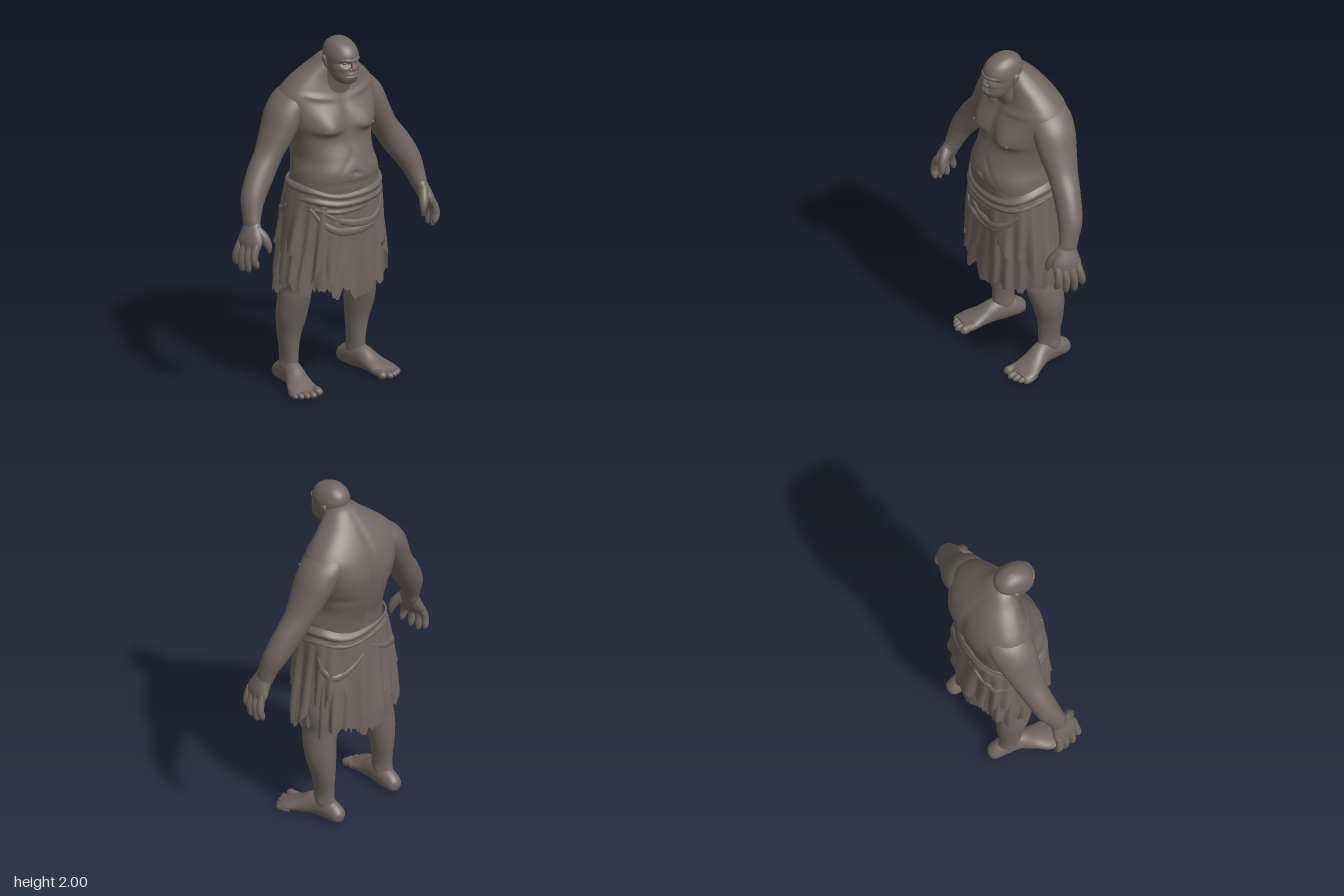
import * as THREE from 'three';

const hide = new THREE.MeshStandardMaterial({ color: 0x70655f, side: THREE.DoubleSide });
hide.name = 'greyBrown';

const V = (x, y, z) => new THREE.Vector3(x, y, z);
const spow = (v, p) => Math.sign(v) * Math.abs(v) ** p;
const gauss = (x, y, cx, cy, sx, sy) => Math.exp(-(((x - cx) / sx) ** 2) - ((y - cy) / sy) ** 2);
const hash = (i) => { const h = Math.sin(i * 127.1 + 3.7) * 43758.5453; return h - Math.floor(h); };

// smooth interpolation through rows of numbers, t from 0 to 1
function spline(rows, t) {
  const f = t * (rows.length - 1), i = Math.min(Math.floor(f), rows.length - 2), u = f - i;
  const row = (k) => rows[Math.max(0, Math.min(rows.length - 1, i + k))];
  return rows[0].map((_, c) => {
    const [p, q, r, s] = [row(-1)[c], row(0)[c], row(1)[c], row(2)[c]];
    return 0.5 * (2 * q + (r - p) * u + (2 * p - 5 * q + 4 * r - s) * u * u + (3 * q - p - 3 * r + s) * u ** 3);
  });
}

// surface through closed rings of points, with optional end caps
function skin(name, rings, capped = true) {
  const n = rings[0].length, m = rings.length, pos = [], idx = [];
  rings.forEach((r) => r.forEach((p) => pos.push(p.x, p.y, p.z)));
  for (let i = 0; i < m - 1; i++) for (let j = 0; j < n; j++) {
    const a = i * n + j, b = i * n + (j + 1) % n;
    idx.push(a, b, a + n, b, b + n, a + n);
  }
  if (capped) [0, m - 1].forEach((i) => {
    const c = rings[i].reduce((s, p) => s.add(p), V(0, 0, 0)).divideScalar(n), k = pos.length / 3;
    pos.push(c.x, c.y, c.z);
    for (let j = 0; j < n; j++) {
      const a = i * n + j, b = i * n + (j + 1) % n;
      if (i) idx.push(a, b, k); else idx.push(b, a, k);
    }
  });
  const g = new THREE.BufferGeometry();
  g.setAttribute('position', new THREE.Float32BufferAttribute(pos, 3));
  g.setIndex(idx);
  g.computeVertexNormals();
  const mesh = new THREE.Mesh(g, hide);
  mesh.name = name;
  return mesh;
}

// limb along a path of [x, y, z, radius across, radius along up]
function limb(name, path, up, n = 24, m = 32, rule) {
  const rings = [];
  for (let i = 0; i <= m; i++) {
    const t = i / m, [x, y, z, a, b] = spline(path, t);
    const p0 = spline(path, Math.max(0, t - 0.02)), p1 = spline(path, Math.min(1, t + 0.02));
    const T = V(p1[0] - p0[0], p1[1] - p0[1], p1[2] - p0[2]).normalize();
    const W = up.clone().addScaledVector(T, -up.dot(T)).normalize(), U = W.clone().cross(T);
    rings.push(Array.from({ length: n }, (_, j) => {
      const q = j / n * Math.PI * 2;
      const p = V(x, y, z).addScaledVector(U, a * Math.cos(q)).addScaledVector(W, b * Math.sin(q));
      if (rule) rule(p);
      return p;
    }));
  }
  return skin(name, rings);
}

// upright form from rows of [y, half width, front z, back z]
function upright(name, rows, n, m, power, rule) {
  const rings = [];
  for (let i = 0; i <= m; i++) {
    const [y, w, f, b] = spline(rows, i / m);
    rings.push(Array.from({ length: n }, (_, j) => {
      const q = j / n * Math.PI * 2;
      const p = V(w * spow(Math.sin(q), power), y, (f + b) / 2 + (f - b) / 2 * spow(Math.cos(q), power));
      rule(p, Math.cos(q));
      return p;
    }));
  }
  return skin(name, rings);
}

function ball(name, x, y, z, rx, ry, rz) {
  const m = new THREE.Mesh(new THREE.SphereGeometry(1, 16, 12).scale(rx, ry, rz), hide);
  m.name = name;
  m.position.set(x, y, z);
  return m;
}

// chest muscles, navel, spine and shoulder blades
function shapeTorso(p, c) {
  const x = Math.abs(p.x), y = p.y, fold = 1.455 + 1.6 * (x - 0.13) ** 2;
  if (c > 0) {
    p.z += c ** 0.5 * (0.042 * gauss(x, y, 0.135, fold + 0.045, 0.085, y < fold + 0.045 ? 0.03 : 0.09)
      - 0.012 * gauss(x, y, 0, 1.56, 0.02, 0.1) - 0.02 * gauss(x, y, 0, 1.255, 0.02, 0.01)
      - 0.006 * gauss(x, y, 0, 1.2, 0.2, 0.01) - 0.005 * gauss(x, y, 0, 1.36 - x, 0.16, 0.015)
      + 0.01 * gauss(x, y, 0.14, 1.675 + 0.2 * (x - 0.14), 0.09, 0.016));
  } else {
    p.z += (-c) ** 0.5 * (0.022 * gauss(x, y, 0, 1.45, 0.02, 0.26)
      - 0.01 * gauss(x, y, 0.15, 1.56, 0.07, 0.1) + 0.012 * gauss(x, y, 0.2, 1.42, 0.08, 0.03));
  }
}

function shapeHead(p, c) {
  if (c <= 0) return;
  const x = Math.abs(p.x), y = p.y;
  p.z += -0.02 * gauss(x, y, 0.036, 1.878, 0.026, 0.013) + 0.008 * gauss(x, y, 0.05, 1.85, 0.025, 0.014)
    + 0.008 * gauss(x, y, 0, 1.808, 0.04, 0.022) - 0.012 * gauss(x, y, 0, 1.811, 0.04, 0.004);
}

// points on the draped cloth; q = 0 is the front, v runs from waist 0 to hem 1
function cloth(q, y, layer, v) {
  const k = Math.min(1, (1.15 - y) / 0.5);
  const fold = Math.abs(Math.sin(11 * q + layer * 2 + v * 1.5)) * 0.7
    + 0.6 * Math.sin(19 * q + 2 * v + layer) + 0.6 * Math.sin(7 * q - 2 * v);
  const d = layer * 0.012 + 0.02 * v ** 0.7 * fold, p = 0.86;
  const w = 0.256 + 0.044 * k + d, f = 0.219 + 0.006 * k + d * 0.6, b = -0.185 - 0.036 * k - d * 0.7;
  return V(w * spow(Math.sin(q), p) - 0.008 * k, y, (f + b) / 2 + (f - b) / 2 * spow(Math.cos(q), p));
}

function drape(name, layer, hem) {
  const n = 176, m = 30, rings = [];
  for (let i = 0; i <= m; i++) rings.push(Array.from({ length: n }, (_, j) => {
    const q = j / n * Math.PI * 2, v = 1 - i / m;
    return cloth(q, 1.15 + (hem(q, j) - 1.15) * v, layer, v);
  }));
  return skin(name, rings, false);
}

// arm, hand, leg and foot of one side; the right foot stands slightly wider
function buildSide(s, tag) {
  const g = new THREE.Group();
  g.name = tag + 'Limbs';
  const side = (path) => path.map(([x, ...r]) => [s * x, ...r]);
  const step = s < 0 ? 0.016 : 0;
  const Z = V(0, 0, 1), across = V(-0.2 * s, 0, 1);
  g.add(limb(tag + 'Arm', side([[0.13, 1.7, -0.07, 0.03, 0.08], [0.205, 1.65, -0.07, 0.078, 0.12],
    [0.27, 1.575, -0.062, 0.095, 0.122], [0.325, 1.475, -0.053, 0.085, 0.108], [0.39, 1.365, -0.043, 0.073, 0.085],
    [0.46, 1.26, -0.024, 0.078, 0.074], [0.522, 1.16, 0, 0.068, 0.067], [0.551, 1.07, 0.028, 0.051, 0.055],
    [0.563, 1.01, 0.045, 0.04, 0.052], [0.575, 0.965, 0.055, 0.022, 0.04]]), Z, 32, 56));
  g.add(limb(tag + 'Palm', side([[0.556, 1.05, 0.035, 0.034, 0.042], [0.569, 1.0, 0.052, 0.039, 0.062],
    [0.592, 0.94, 0.067, 0.036, 0.083], [0.61, 0.89, 0.07, 0.02, 0.076]]), across, 24, 16));
  [[0.058, 0.6, 0.808, 0.138], [0.02, 0.62, 0.78, 0.092], [-0.02, 0.626, 0.775, 0.042], [-0.058, 0.632, 0.8, -0.005]]
    .forEach(([k, x, y, z], i) => {
      const kx = 0.601 - 0.2 * k, kz = 0.07 + 1.02 * k;
      g.add(limb(tag + 'Finger' + (i + 1), side([[kx, 0.94, kz, 0.016, 0.016], [kx + 0.014, 0.9, kz, 0.022, 0.022],
        [(kx + x) / 2 + 0.017, 0.855, (kz + z) / 2, 0.021, 0.021], [x, y + 0.015, z, 0.018, 0.018],
        [x - 0.008, y - 0.006, z, 0.007, 0.007]]), Z, 12, 14));
    });
  g.add(limb(tag + 'Thumb', side([[0.56, 1.01, 0.08, 0.024, 0.03], [0.538, 0.965, 0.12, 0.027, 0.028],
    [0.522, 0.92, 0.14, 0.021, 0.021], [0.517, 0.88, 0.145, 0.008, 0.009]]), Z, 12, 14));
  g.add(limb(tag + 'Leg', side([[0.213 + step, 0.04, -0.085, 0.042, 0.08], [0.216 + step, 0.12, -0.068, 0.044, 0.068],
    [0.218 + step, 0.2, -0.066, 0.049, 0.066], [0.224 + step / 2, 0.3, -0.066, 0.064, 0.076],
    [0.228, 0.4, -0.053, 0.081, 0.091], [0.222, 0.5, -0.036, 0.08, 0.105], [0.21, 0.57, -0.034, 0.083, 0.107],
    [0.2, 0.7, -0.02, 0.1, 0.12], [0.15, 0.98, 0, 0.1, 0.13]]), Z, 32, 48, (p) => {
    p.z += p.z > -0.03 ? 0.014 * gauss(s * p.x, p.y, 0.222, 0.545, 0.035, 0.035) : 0;
    p.x += s * (s * p.x > 0.23 ? 0.01 : -0.006) * gauss(p.z, p.y, -0.075, 0.11, 0.03, 0.025);
  }));
  const foot = new THREE.Group();
  foot.name = tag + 'WholeFoot';
  foot.position.x = s * step;
  foot.add(limb(tag + 'Foot', side([[0.205, 0.04, -0.198, 0.012, 0.016], [0.207, 0.045, -0.175, 0.042, 0.042],
    [0.212, 0.066, -0.1, 0.05, 0.066], [0.223, 0.072, -0.02, 0.053, 0.07], [0.245, 0.047, 0.06, 0.068, 0.047],
    [0.263, 0.03, 0.125, 0.083, 0.031], [0.27, 0.02, 0.172, 0.07, 0.02]]), V(0, 1, 0), 32, 32,
    (p) => { p.y = Math.max(0, p.y); }));
  [[0.207, 0.19, 0.024], [0.25, 0.197, 0.018], [0.283, 0.186, 0.017], [0.312, 0.17, 0.016], [0.337, 0.148, 0.015]]
    .forEach(([x, z, r], i) => foot.add(limb(tag + 'Toe' + (i + 1), side([[x - 0.012, r * 1.25, z - 0.06, r * 0.7, r * 0.7],
      [x, r * 1.2, z - 0.025, r * 0.9, r * 0.95], [x, r, z + 0.008, r, r], [x, r * 0.8, z + 0.026, r * 0.4, r * 0.4]]),
      V(0, 1, 0), 12, 12)));
  g.add(foot);
  // face and chest details that come in pairs
  g.add(limb(tag + 'Ear', side([[0.082, 1.84, 0.075, 0.005, 0.008], [0.088, 1.865, 0.068, 0.008, 0.015],
    [0.09, 1.89, 0.06, 0.009, 0.018], [0.084, 1.905, 0.06, 0.004, 0.008]]), Z, 12, 12));
  g.add(ball(tag + 'Eye', s * 0.034, 1.878, 0.175, 0.013, 0.008, 0.011));
  g.add(ball(tag + 'Nostril', s * 0.015, 1.846, 0.207, 0.011, 0.009, 0.011));
  g.add(ball(tag + 'Nipple', s * 0.158, 1.5, 0.174, 0.008, 0.008, 0.008));
  return g;
}

export function createModel() {
  const model = new THREE.Group();
  model.name = 'giant';
  model.add(upright('torso', [[1.02, 0.24, 0.21, -0.17], [1.15, 0.247, 0.23, -0.17], [1.25, 0.24, 0.24, -0.182],
    [1.33, 0.222, 0.217, -0.207], [1.42, 0.234, 0.182, -0.232], [1.5, 0.258, 0.17, -0.242], [1.58, 0.28, 0.15, -0.242],
    [1.66, 0.295, 0.115, -0.222], [1.72, 0.262, 0.095, -0.193], [1.78, 0.2, 0.085, -0.152], [1.84, 0.125, 0.085, -0.1],
    [1.89, 0.07, 0.08, -0.048], [1.91, 0.02, 0.06, 0.0]], 96, 96, 0.88, shapeTorso));
  model.add(limb('neck', [[0, 1.62, 0, 0.14, 0.09], [0, 1.72, 0.035, 0.105, 0.08], [0, 1.79, 0.06, 0.082, 0.078],
    [0, 1.86, 0.08, 0.072, 0.08]], V(0, 0, 1)));
  model.add(upright('head', [[1.753, 0.03, 0.175, 0.09], [1.768, 0.055, 0.2, 0.06], [1.8, 0.073, 0.208, 0.03],
    [1.84, 0.082, 0.203, 0], [1.87, 0.085, 0.2, -0.012], [1.9, 0.087, 0.206, -0.02], [1.93, 0.083, 0.2, -0.022],
    [1.965, 0.068, 0.175, -0.006], [1.99, 0.042, 0.128, 0.03], [2.0, 0.008, 0.085, 0.065]], 64, 72, 0.93, shapeHead));
  model.add(limb('brow', [[-0.074, 1.892, 0.14, 0.006, 0.006], [-0.043, 1.9, 0.19, 0.011, 0.011],
    [0, 1.896, 0.205, 0.01, 0.01], [0.043, 1.9, 0.19, 0.011, 0.011], [0.074, 1.892, 0.14, 0.006, 0.006]], V(0, 1, 0), 12, 24));
  model.add(limb('nose', [[0, 1.895, 0.198, 0.008, 0.008], [0, 1.865, 0.207, 0.011, 0.012],
    [0, 1.848, 0.211, 0.015, 0.013], [0, 1.837, 0.207, 0.006, 0.006]], V(0, 0, 1), 16, 14));
  model.add(ball('upperLip', 0, 1.819, 0.206, 0.033, 0.006, 0.009));
  model.add(ball('lowerLip', 0, 1.803, 0.207, 0.033, 0.008, 0.01));
  model.add(buildSide(1, 'left'), buildSide(-1, 'right'));

  // ragged skirt in two layers
  const wrap = (q) => (q > Math.PI ? q - 2 * Math.PI : q);
  model.add(drape('skirt', 0, (q, j) => 0.6 - 0.085 * gauss(wrap(q), 0, 0.15, 0, 0.3, 1) - 0.03 * (Math.cos(q) < -0.2)
    + 0.03 * Math.sin(5 * q + 1) + 0.07 * (hash(Math.floor(j / 5)) - 0.5) + 0.03 * (hash(j) - 0.5)));
  model.add(drape('overskirt', 1, (q, j) => 0.75 + 0.1 * Math.sin(3 * q + 0.6) + 0.05 * Math.sin(8 * q)
    + 0.1 * (hash(Math.floor(j / 6) + 60) - 0.5) + 0.03 * (hash(j + 9) - 0.5)));

  // slanting swags hanging from the waist, front and back
  [[-1.0, 1.07, -0.1, 0.8, 0.85, 1.02], [-0.7, 1.06, 0.3, 0.86, 0.95, 1.06], [1.9, 1.06, 2.2, 0.82, 3.0, 1.04],
    [3.2, 1.06, 4.0, 0.92, 4.5, 1.05]].forEach(([q0, y0, q1, y1, q2, y2], i) => {
    const path = Array.from({ length: 9 }, (_, k) => {
      const t = k / 8, u = 1 - t, mix = (a, b, c) => u * u * a + 2 * u * t * b + t * t * c;
      const p = cloth(mix(q0, q1, q2), mix(y0, y1, y2), 1, 0.25), r = 0.004 + 0.009 * Math.sin(Math.PI * t);
      return [p.x, p.y, p.z, r, r * 1.8];
    });
    model.add(limb('swag' + (i + 1), path, V(0, 1, 0), 12, 32));
  });

  // rolled cloth around the waist, higher over the hips
  const sash = [];
  for (let i = 0; i <= 24; i++) sash.push(Array.from({ length: 96 }, (_, j) => {
    const q = j / 96 * Math.PI * 2, v = i / 24;
    const d = 0.018 * Math.sin(Math.PI * v) ** 0.5 + 0.006 * Math.sin(v * 17 + 1.5 * Math.sin(q + 0.5) + Math.sin(3 * q));
    const y = 1.05 + 0.12 * v + 0.035 * v * Math.sin(q) ** 2 + 0.012 * Math.sin(q) - 0.015 * Math.cos(q) + 0.006 * Math.sin(4 * q);
    return V((0.25 + d) * spow(Math.sin(q), 0.86), y, 0.022 + (0.205 + d * 0.8) * spow(Math.cos(q), 0.86));
  }));
  model.add(skin('sash', sash, false));
  return model;
}
